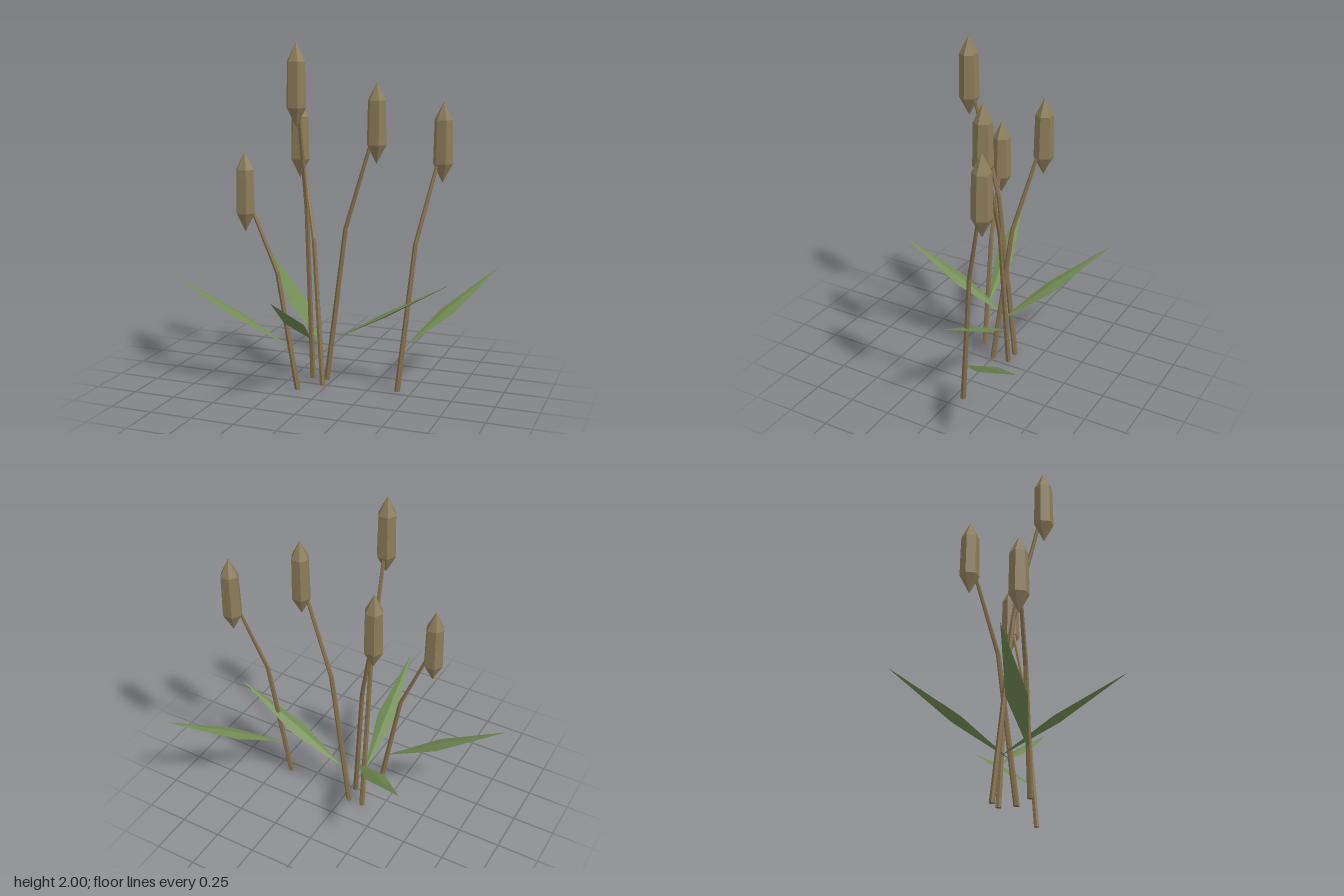
import * as THREE from 'three';
import { ConvexGeometry } from 'three/addons/geometries/ConvexGeometry.js';

const flat = (name, color) => {
  const m = new THREE.MeshStandardMaterial({ color, flatShading: true });
  m.name = name;
  return m;
};

const REACH = 0.3;        // how far a stem leans outwards
const BEND = 0.6;         // height fraction of the kink
const BEND_REACH = 0.115; // lean at the kink

// Tapered stem along local +x, kinked once
function stemGeometry(height) {
  const geo = new THREE.CylinderGeometry(0.01, 0.017, 1, 6, 2);
  const pos = geo.attributes.position;
  for (let i = 0; i < pos.count; i++) {
    const level = Math.round((pos.getY(i) + 0.5) * 2); // 0 foot, 1 kink, 2 top
    pos.setX(i, pos.getX(i) + [0, BEND_REACH, REACH][level]);
    pos.setY(i, height * [0, BEND, 1][level]);
  }
  geo.computeVertexNormals();
  return geo;
}

// Six-sided seed head, pointed at both ends, centred on its origin
function headGeometry() {
  const profile = [[0, -0.2325], [0.058, -0.122], [0.053, 0.128], [0, 0.2325]];
  const geo = new THREE.LatheGeometry(profile.map(([r, y]) => new THREE.Vector2(r, y)), 6);
  return geo.rotateY(Math.PI / 6);
}

// Thin blade with a midrib ridge on both sides, rising along local +x
function leafGeometry() {
  const points = [
    [0.035, 0.25, 0], [0.755, 0.655, 0],
    [0.36, 0.433, 0.058], [0.36, 0.433, -0.058],
    [0.355, 0.444, 0], [0.365, 0.422, 0],
  ];
  return new ConvexGeometry(points.map((p) => new THREE.Vector3(...p)));
}

export function createModel() {
  const stemMat = flat('stem brown', 0x85714f);
  const headMat = flat('seed head brown', 0x8c7c5a);
  const leafMat = flat('leaf green', 0x708a52);
  const headGeo = headGeometry();
  const leafGeo = leafGeometry();

  const model = new THREE.Group();
  model.name = 'reeds';

  // foot x, foot z, lean direction x, z, stem height
  const reeds = [
    [-0.13, -0.1, 0.08, 0.997, 1.767],
    [-0.04, -0.1, 1, 0, 1.547],
    [-0.03, 0, -0.733, -0.68, 1.433],
    [0.415, -0.05, 0.612, -0.79, 1.433],
    [-0.14, 0.12, -0.985, 0.168, 1.157],
  ];
  for (const [x, z, dx, dz, height] of reeds) {
    const reed = new THREE.Group();
    reed.name = 'reed';
    reed.position.set(x, 0, z);
    reed.rotation.y = Math.atan2(-dz, dx);

    const stem = new THREE.Mesh(stemGeometry(height), stemMat);
    stem.name = 'stem';
    const head = new THREE.Mesh(headGeo, headMat);
    head.name = 'seedHead';
    head.position.set(REACH, height, 0);
    head.rotation.y = -reed.rotation.y; // heads all face the same way
    const leaf = new THREE.Mesh(leafGeo, leafMat);
    leaf.name = 'leaf';

    reed.add(stem, head, leaf);
    model.add(reed);
  }
  return model;
}
